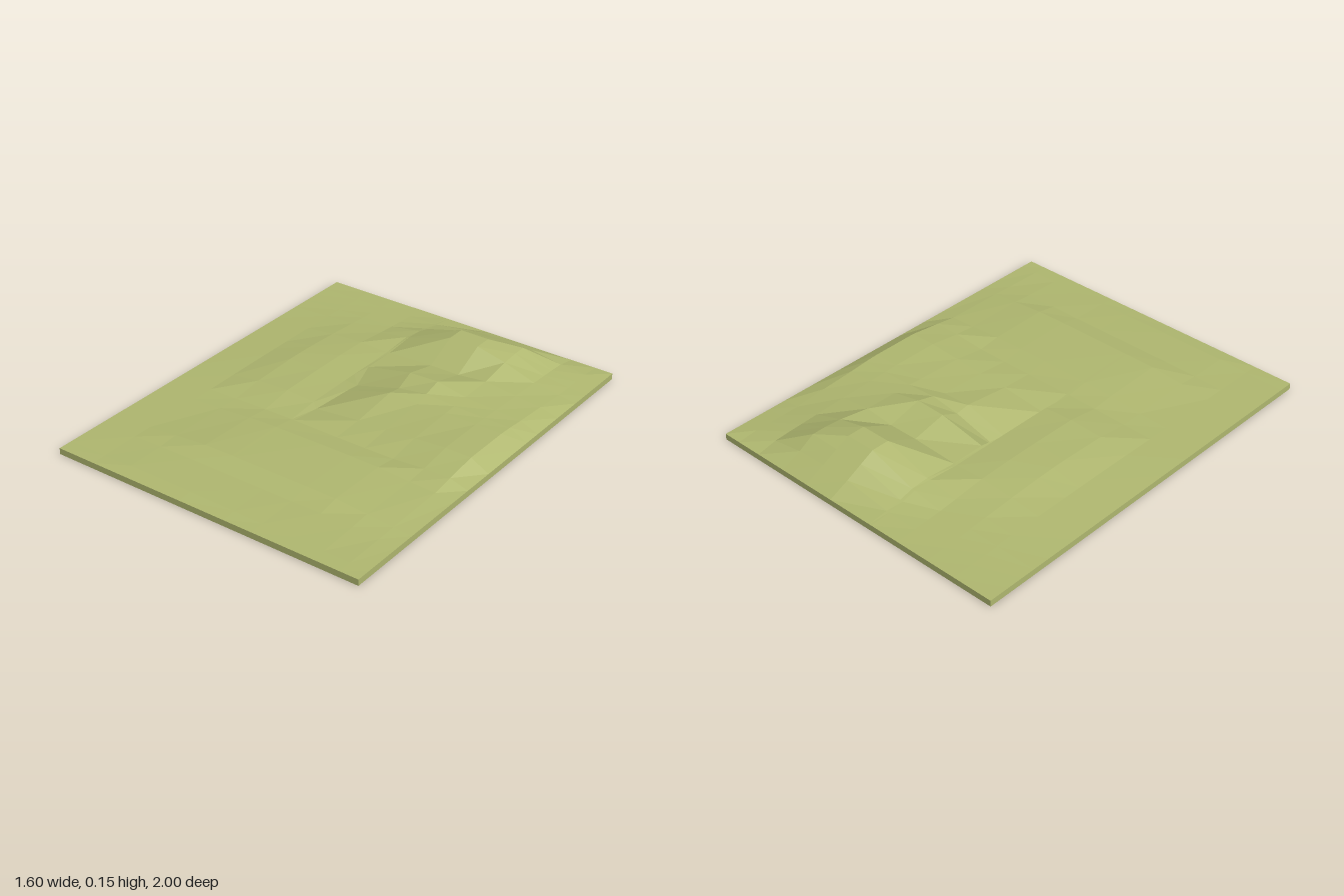
import * as THREE from 'three';

// Grid lines of the terrain, closer together where the ground is broken
const xs = [-0.8, -0.6, -0.45, -0.28, -0.13, -0.115, 0.12, 0.27, 0.42, 0.58, 0.71, 0.8];
const zs = [-1, -0.9, -0.82, -0.75, -0.66, -0.5, -0.33, -0.24, -0.17, 0.07, 0.23, 0.34, 0.64, 0.74, 0.93, 1];
const rim = 0.03;

// Inner heights in thousandths, one row per inner z line, from back to front
const heights = [
  [32, 33, 35, 40, 41, 75, 78, 75, 50, 40],
  [34, 36, 38, 50, 52, 115, 118, 122, 55, 40],
  [36, 40, 42, 68, 70, 150, 150, 122, 58, 40],
  [38, 46, 50, 72, 75, 150, 150, 115, 62, 42],
  [40, 56, 66, 60, 61, 72, 72, 88, 68, 55],
  [40, 64, 70, 60, 62, 110, 115, 85, 74, 66],
  [40, 66, 70, 60, 4, 70, 92, 82, 77, 74],
  [40, 66, 70, 60, 12, 80, 72, 78, 79, 78],
  [38, 58, 66, 58, 26, 50, 58, 68, 79, 78],
  [36, 38, 42, 44, 44, 42, 42, 44, 56, 58],
  [35, 40, 52, 58, 58, 60, 60, 58, 48, 42],
  [34, 46, 60, 62, 62, 62, 62, 60, 48, 38],
  [34, 38, 40, 40, 40, 40, 40, 42, 40, 35],
  [32, 38, 38, 38, 38, 36, 34, 32, 32, 32],
];

export function createModel() {
  const group = new THREE.Group();
  group.name = 'terrainTile';

  // A closed slab whose top vertices are lifted to the height map
  const nx = xs.length - 1, nz = zs.length - 1;
  const geometry = new THREE.BoxGeometry(nx, 1, nz, nx, 1, nz);
  const p = geometry.attributes.position;
  for (let i = 0; i < p.count; i++) {
    const ix = Math.round(p.getX(i) + nx / 2);
    const iz = Math.round(p.getZ(i) + nz / 2);
    const inside = ix > 0 && ix < nx && iz > 0 && iz < nz;
    const top = inside ? heights[iz - 1][ix - 1] / 1000 : rim;
    p.setXYZ(i, xs[ix], p.getY(i) > 0 ? top : 0, zs[iz]);
  }
  geometry.computeVertexNormals();

  const material = new THREE.MeshStandardMaterial({ color: 0xb0b870, flatShading: true });
  const ground = new THREE.Mesh(geometry, material);
  ground.name = 'hillyGround';
  group.add(ground);
  return group;
}
